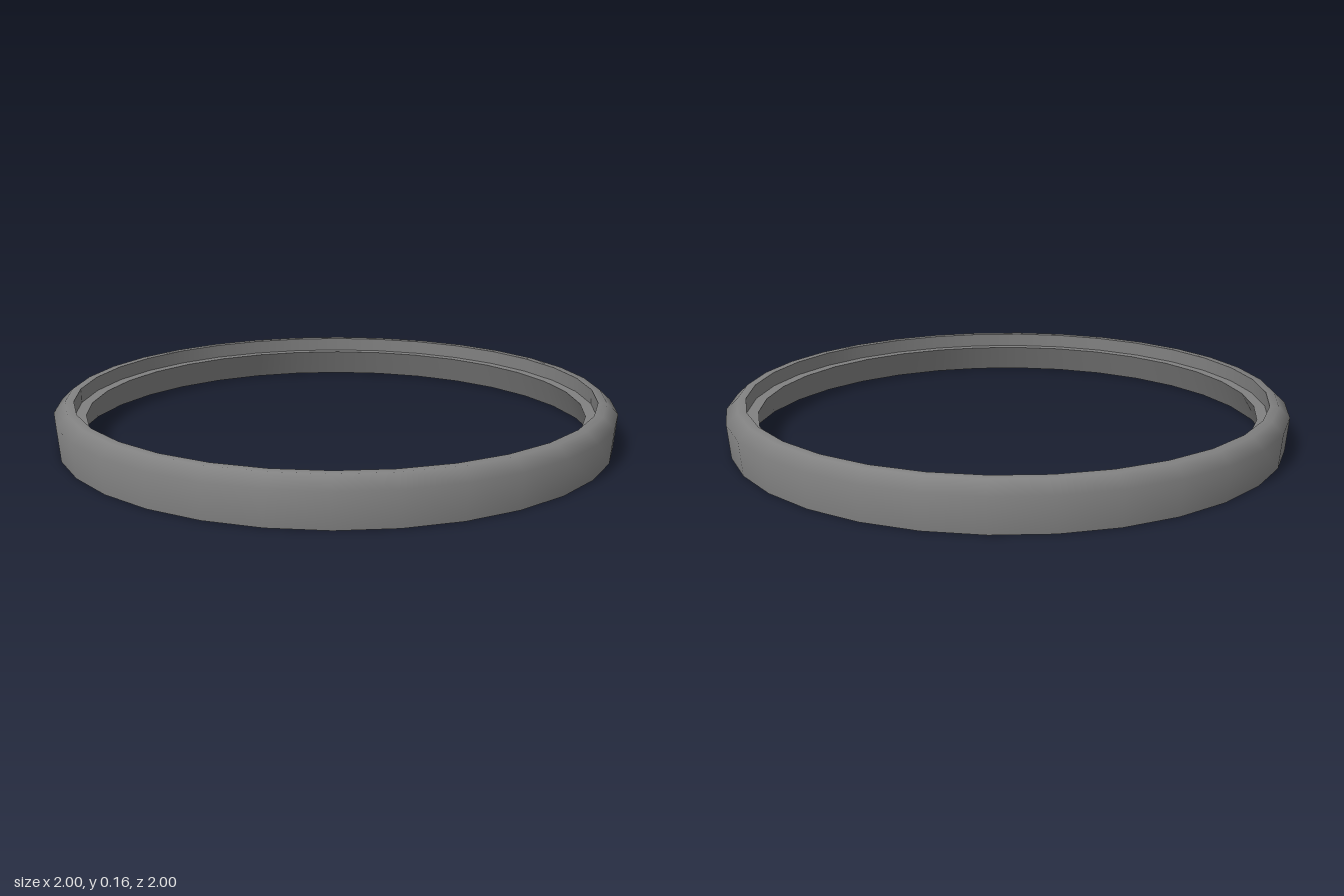
import * as THREE from 'three';
import { mergeGeometries } from 'three/addons/utils/BufferGeometryUtils.js';

const SIDES = 32;

// Each strip is lathed on its own, so the edges between strips stay sharp.
// Points are [radius, height], running round the section from outside bottom;
// the shell is hollow and open underneath.
const STRIPS = [
  [[0.99, 0], [1, 0.12], [0.96, 0.157], [0.93, 0.157]], // outer wall, bevel and rim
  [[0.93, 0.157], [0.93, 0.105]],                       // upper inner wall
  [[0.93, 0.105], [0.89, 0.105]],                       // ledge
  [[0.89, 0.105], [0.935, 0]],                          // flared lower inner wall
];

export function createModel() {
  const group = new THREE.Group();
  group.name = 'ring';

  const parts = STRIPS.map((strip) =>
    new THREE.LatheGeometry(strip.map(([r, y]) => new THREE.Vector2(r, y)), SIDES));

  const band = new THREE.Mesh(
    mergeGeometries(parts),
    new THREE.MeshStandardMaterial({ color: 0x808080, side: THREE.DoubleSide }),
  );
  band.name = 'ringBand';
  group.add(band);
  return group;
}
